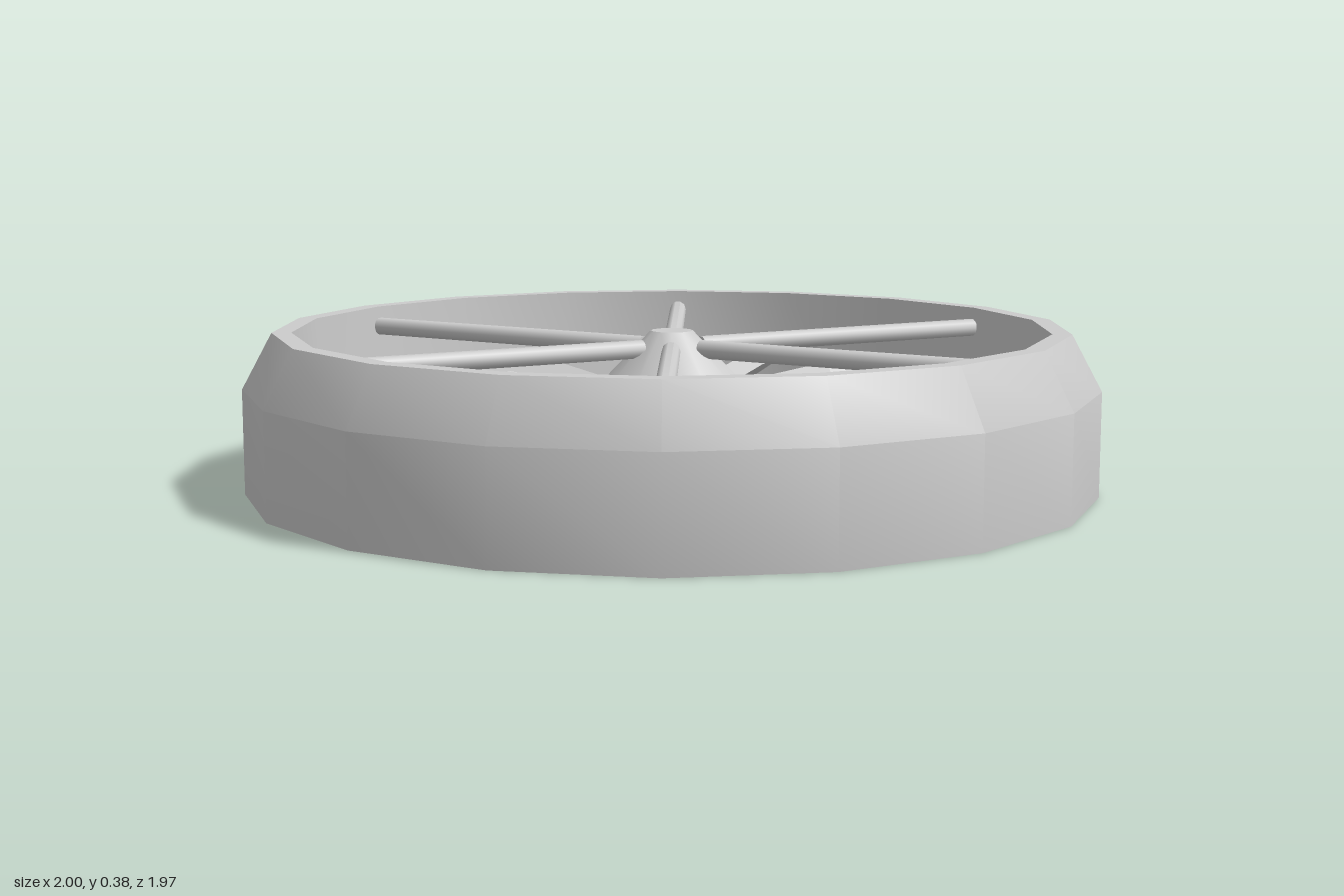
import * as THREE from 'three';
import { toCreasedNormals } from 'three/addons/utils/BufferGeometryUtils.js';

const material = new THREE.MeshStandardMaterial({ color: 0xcccccc });

function part(name, geometry, parent) {
  const mesh = new THREE.Mesh(geometry, material);
  mesh.name = name;
  parent.add(mesh);
  return mesh;
}

// Surface of revolution with a corner on the x axis
function turned(points, sides) {
  const profile = points.map(([r, y]) => new THREE.Vector2(r, y));
  const geometry = new THREE.LatheGeometry(profile, sides).rotateY(Math.PI / 2);
  return toCreasedNormals(geometry, 0.53);
}

// Flat blade along +x, widest a third of the way out, pitched about its length
function bladeGeometry() {
  const outline = [
    [0.12, -0.07], [0.37, -0.16], [0.82, -0.115], [0.845, -0.06],
    [0.85, 0.03], [0.835, 0.115], [0.37, 0.16], [0.12, 0.07],
  ];
  const shape = new THREE.Shape(outline.map(([x, y]) => new THREE.Vector2(x, y)));
  const thickness = 0.045;
  const geometry = new THREE.ExtrudeGeometry(shape, { depth: thickness, bevelEnabled: false });
  geometry.translate(0, 0, -thickness / 2);
  geometry.rotateX(-Math.PI / 2);
  geometry.rotateX(-0.6);
  return geometry.translate(0, 0.17, -0.015);
}

export function createModel() {
  const model = new THREE.Group();
  model.name = 'ductedFan';

  // Closed tray with a chamfered outer rim
  part('housing', turned([
    [0, 0], [1, 0], [1, 0.245], [0.93, 0.375],
    [0.885, 0.375], [0.872, 0.02], [0, 0.02],
  ], 18), model);

  // Hub with a conical cap
  part('hub', turned([[0.155, 0.02], [0.155, 0.255]], 12), model);
  part('hubCap', turned([[0.155, 0.255], [0.05, 0.365], [0, 0.365]], 12), model);

  // Eight pitched blades
  const blades = new THREE.Group();
  blades.name = 'blades';
  model.add(blades);
  const blade = bladeGeometry();
  for (let i = 0; i < 8; i++) {
    part('blade', blade, blades).rotation.y = (i * Math.PI) / 4;
  }

  // Six round struts from the hub cap to the rim
  const struts = new THREE.Group();
  struts.name = 'struts';
  model.add(struts);
  const strut = toCreasedNormals(new THREE.CylinderGeometry(0.022, 0.022, 0.8, 10), 0.8);
  strut.rotateZ(Math.PI / 2).translate(0.48, 0.325, 0);
  for (let i = 0; i < 6; i++) {
    part('strut', strut, struts).rotation.y = (i * Math.PI) / 3;
  }

  return model;
}
